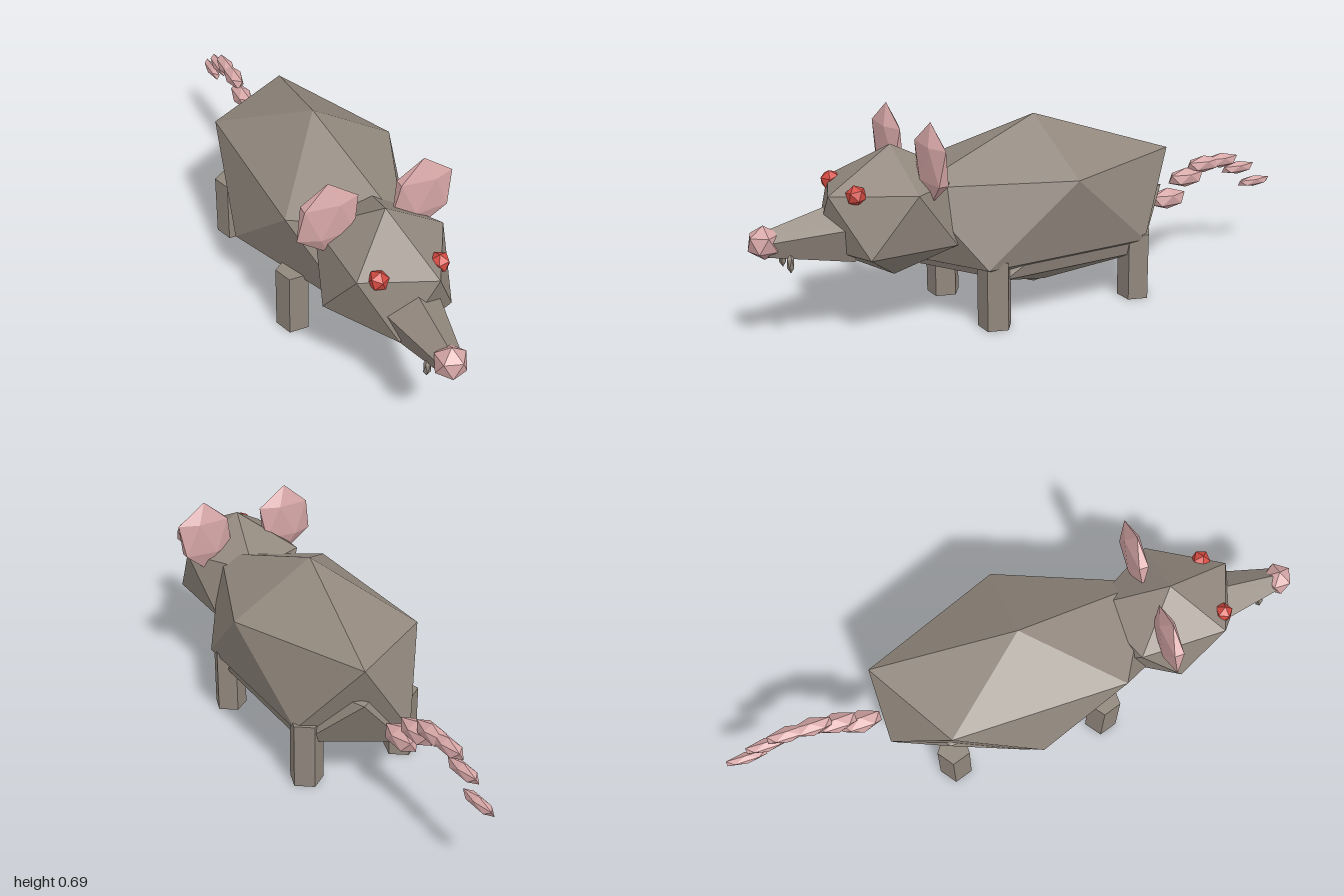
import * as THREE from 'three';

const mat = (name, color) => {
  const m = new THREE.MeshStandardMaterial({ color });
  m.name = name;
  return m;
};

export function createModel() {
  const model = new THREE.Group();
  model.name = 'rat';
  const fur = mat('greyBrownFur', 0x91877d);
  const pink = mat('pinkSkin', 0xd6a6a6);
  const red = mat('redEye', 0xd34a41);

  const add = (name, geometry, material, position) => {
    const mesh = new THREE.Mesh(geometry, material);
    mesh.name = name;
    mesh.position.set(...position);
    model.add(mesh);
    return mesh;
  };

  // Stretched icosahedron standing on a corner, with flat facets
  const blob = (name, material, position, radii) => {
    const g = new THREE.IcosahedronGeometry(1, 0);
    g.rotateZ(-Math.atan2(2, 1 + Math.sqrt(5)));
    g.scale(...radii);
    return add(name, g, material, position);
  };

  // Five-sided faceted column with its ridge towards the back
  const column = (top, bottom, height) => {
    const g = new THREE.CylinderGeometry(top, bottom, height, 5).toNonIndexed();
    g.rotateY(Math.PI);
    g.computeVertexNormals();
    return g;
  };

  // Trunk and head
  blob('body', fur, [0, 0.338, 0.02], [0.313, 0.292, 0.564]);
  blob('belly', fur, [0, 0.246, -0.02], [0.28, 0.199, 0.5]);
  blob('head', fur, [0, 0.383, 0.535], [0.2236, 0.213, 0.276]);

  // Tapered snout with the nose at its tip
  add('snout', column(0.042, 0.104, 0.26).rotateX(Math.PI / 2), fur, [0, 0.342, 0.82]);
  blob('nose', pink, [0, 0.349, 0.954], [0.054, 0.054, 0.054]);

  // Paired features and legs
  for (const [side, s] of [['left', 1], ['right', -1]]) {
    blob(side + 'Ear', pink, [s * 0.157, 0.563, 0.472], [0.111, 0.126, 0.03]);
    const eye = blob(side + 'Eye', red, [s * 0.1, 0.48, 0.695], [0.033, 0.033, 0.033]);
    eye.rotation.set(0.1, s * 0.4, s * 0.15);
    blob(side + 'Tooth', fur, [s * 0.034, 0.282, 0.887], [0.013, 0.032, 0.013]);
    add(side + 'FrontLeg', column(0.0568, 0.0568, 0.225), fur, [s * 0.181, 0.1125, 0.27]);
    add(side + 'BackLeg', column(0.0568, 0.0568, 0.225), fur, [s * 0.181, 0.1125, -0.268]);
  }

  // Arched tail of shrinking segments
  const heights = [0.25, 0.316, 0.354, 0.356, 0.318, 0.255];
  heights.forEach((y, i) => {
    const r = 0.039 - i * 0.0038;
    blob('tailSegment' + (i + 1), pink, [0, y, -0.535 - i * 0.079], [r, r, 0.08]);
  });

  return model;
}
